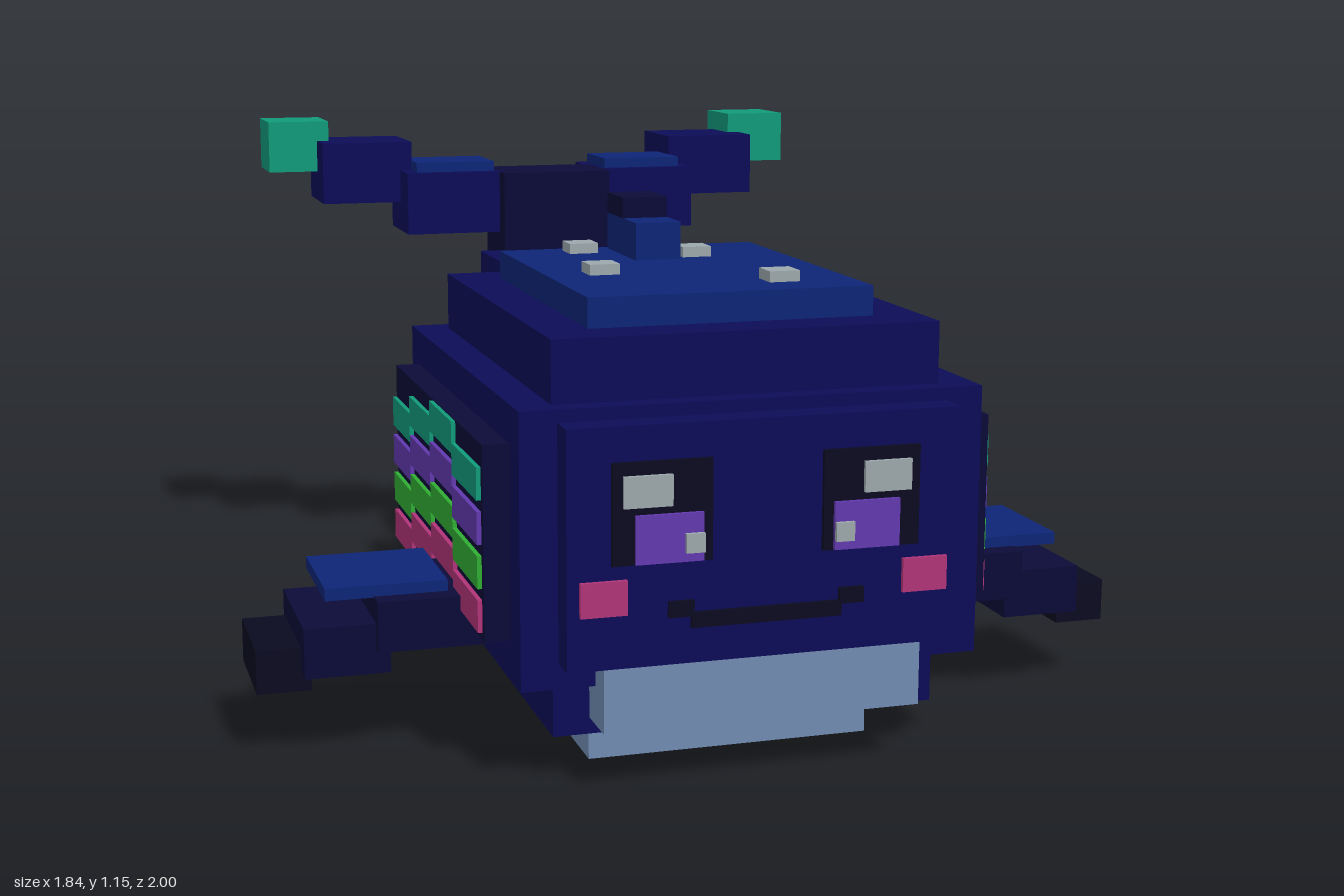
import * as THREE from 'three';

const paint = (name, color) => {
  const m = new THREE.MeshStandardMaterial({ color });
  m.name = name;
  return m;
};

export function createModel() {
  const navy = paint('navy', 0x0c0c58);
  const dark = paint('dark navy', 0x0b0b38);
  const black = paint('near black', 0x0a0a20);
  const blue = paint('blue', 0x0d2576);
  const teal = paint('teal', 0x109a79);
  const purple = paint('purple', 0x6238ae);
  const green = paint('green', 0x2fac33);
  const pink = paint('pink', 0xb03478);
  const slate = paint('slate', 0x708bb2);
  const grey = paint('pale grey', 0x9ca8ac);

  const model = new THREE.Group();
  const group = (name) => {
    const g = new THREE.Group();
    g.name = name;
    model.add(g);
    return g;
  };

  // Box given by its extents on each axis
  const box = (parent, name, mat, x0, x1, y0, y1, z0, z1) => {
    const mesh = new THREE.Mesh(new THREE.BoxGeometry(x1 - x0, y1 - y0, z1 - z0), mat);
    mesh.position.set((x0 + x1) / 2, (y0 + y1) / 2, (z0 + z1) / 2);
    mesh.name = name;
    parent.add(mesh);
  };
  // Box centred on x = 0
  const mid = (parent, name, mat, hw, ...yz) => box(parent, name, mat, -hw, hw, ...yz);
  // Box on the left and its mirror on the right
  const pair = (parent, name, mat, x0, x1, ...yz) => {
    box(parent, name + 'Left', mat, x0, x1, ...yz);
    box(parent, name + 'Right', mat, -x1, -x0, ...yz);
  };

  // Body tiers
  const body = group('body');
  mid(body, 'tallCore', navy, 0.39, 0.09, 0.86, -0.065, 0.865);
  mid(body, 'wideCore', navy, 0.463, 0.2, 0.737, -0.118, 0.91);
  mid(body, 'face', navy, 0.39, 0.25, 0.712, 0.9, 0.972);
  mid(body, 'backPlate', blue, 0.292, 0.86, 0.92, 0.032, 0.765);
  mid(body, 'belly', slate, 0.292, 0, 0.09, 0.035, 0.765);
  pair(body, 'sidePanel', dark, 0.463, 0.515, 0.28, 0.662, -0.042, 0.835);

  // Pleated chin
  const pleat = 0.636 / 5;
  for (let i = 0; i < 5; i++) {
    const x = -0.318 + i * pleat;
    box(body, 'chinPleat' + i, slate, x, x + pleat, 0.123, 0.25, 0.86, 0.97);
  }

  // Wavy stripes on the flanks
  const stripes = group('flankStripes');
  const edges = [0.82, 0.595, 0.375, 0.155, -0.042];
  const tops = [0.617, 0.66, 0.628, 0.59];
  [teal, purple, green, pink].forEach((mat, row) => {
    tops.forEach((top, i) => {
      const y = top - row * 0.086;
      pair(stripes, `stripe${row}_${i}`, mat, 0.515, 0.524, y - 0.064, y, edges[i + 1], edges[i]);
    });
  });

  // Eyes, cheeks and mouth
  const face = group('faceDetails');
  pair(face, 'eye', black, 0.11, 0.305, 0.45, 0.645, 0.972, 0.981);
  pair(face, 'eyeHighlight', grey, 0.19, 0.285, 0.56, 0.62, 0.981, 0.99);
  pair(face, 'iris', purple, 0.13, 0.262, 0.452, 0.545, 0.981, 0.99);
  pair(face, 'irisGlint', grey, 0.13, 0.167, 0.47, 0.507, 0.99, 0.999);
  pair(face, 'cheek', pink, 0.275, 0.366, 0.355, 0.422, 0.972, 0.981);
  mid(face, 'mouth', black, 0.15, 0.32, 0.35, 0.972, 0.981);
  pair(face, 'mouthCorner', black, 0.145, 0.195, 0.343, 0.374, 0.972, 0.981);

  // Blowhole and barnacles
  const top = group('backDetails');
  mid(top, 'blowhole', blue, 0.05, 0.92, 1.0, 0.053, 0.275);
  mid(top, 'blowholeCap', dark, 0.05, 1.0, 1.045, 0.053, 0.177);
  [[-0.125, 0.097], [0.095, 0.22], [-0.175, 0.442], [0.142, 0.637]].forEach(([x, z], i) =>
    box(top, 'barnacle' + i, grey, x - 0.032, x + 0.032, 0.92, 0.942, z - 0.032, z + 0.032));

  // Tail stepping up towards the flukes
  const tail = group('tail');
  mid(tail, 'tailBase', navy, 0.295, 0.24, 0.738, -0.412, -0.1);
  mid(tail, 'tailBasePlate', blue, 0.2, 0.738, 0.787, -0.365, -0.115);
  mid(tail, 'tailBelly', slate, 0.2, 0.208, 0.24, -0.362, -0.11);
  pair(tail, 'tailBaseStripe', teal, 0.295, 0.307, 0.564, 0.632, -0.39, -0.115);
  mid(tail, 'tailStem', navy, 0.188, 0.44, 0.836, -0.63, -0.41);
  pair(tail, 'tailStemStripe', teal, 0.188, 0.2, 0.66, 0.718, -0.608, -0.412);
  mid(tail, 'flukeCentre', dark, 0.136, 0.785, 1.034, -0.782, -0.582);

  // Flukes
  const flukes = group('flukes');
  pair(flukes, 'flukeInner', navy, 0.12, 0.37, 0.882, 1.034, -0.855, -0.636);
  pair(flukes, 'flukePlate', blue, 0.145, 0.342, 1.034, 1.058, -0.832, -0.66);
  pair(flukes, 'flukeRearPlate', purple, 0.143, 0.338, 0.905, 0.98, -0.905, -0.855);
  pair(flukes, 'flukeOuter', navy, 0.34, 0.565, 0.954, 1.105, -0.952, -0.735);
  pair(flukes, 'flukeTip', teal, 0.535, 0.686, 1.028, 1.154, -1.0, -0.83);

  // Side fins
  const fins = group('fins');
  pair(fins, 'finInner', dark, 0.455, 0.688, 0.222, 0.324, 0.345, 0.664);
  pair(fins, 'finMiddle', dark, 0.66, 0.83, 0.174, 0.275, 0.345, 0.642);
  pair(fins, 'finTip', black, 0.81, 0.918, 0.135, 0.224, 0.362, 0.592);
  pair(fins, 'finPlate', blue, 0.54, 0.784, 0.322, 0.347, 0.367, 0.62);

  return model;
}
